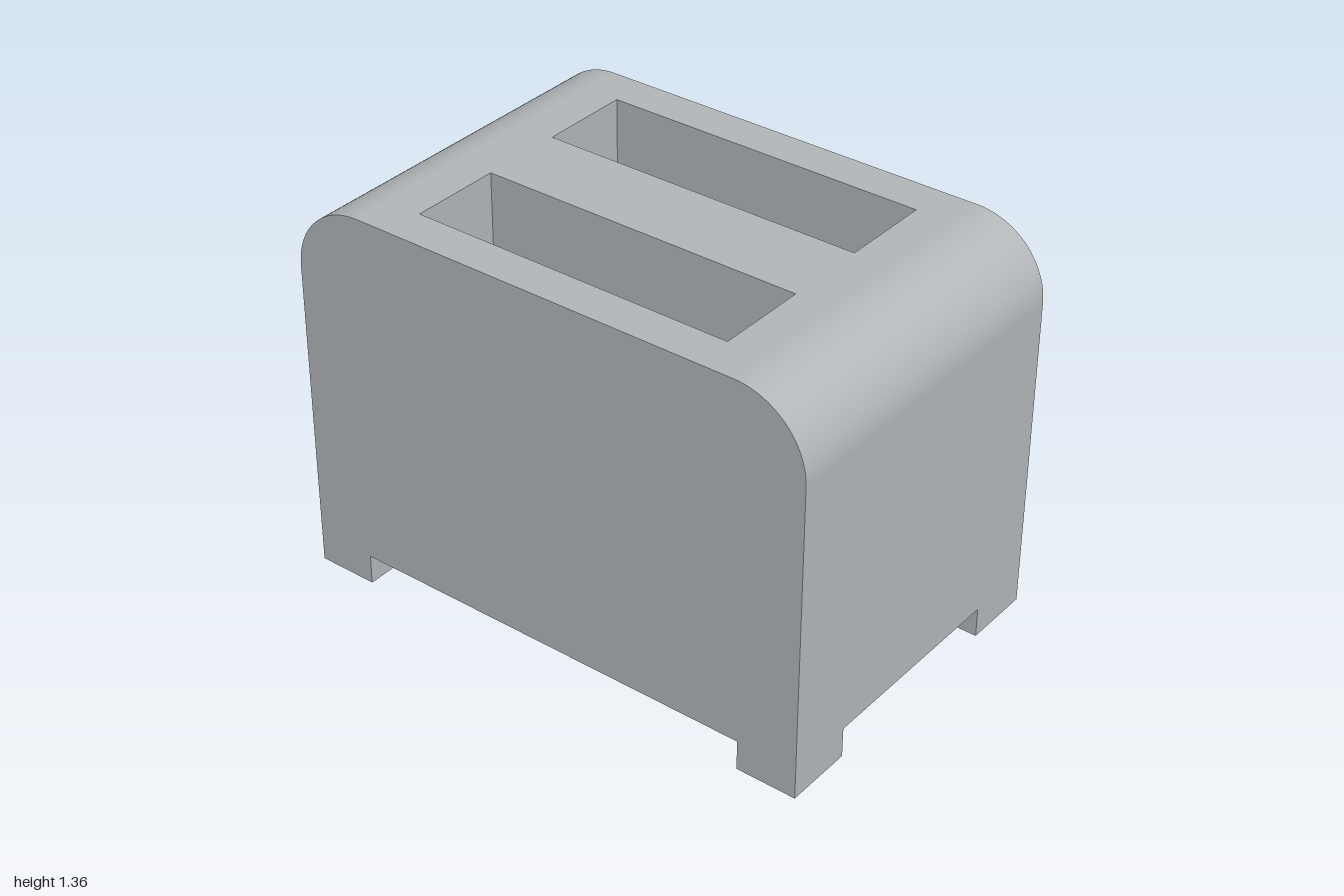
import * as THREE from 'three';

export function createModel() {
  const metal = new THREE.MeshStandardMaterial({ color: 0xb2b6b8 });
  metal.name = 'brushed grey';

  const model = new THREE.Group();
  model.name = 'toaster';
  model.position.x = 0.055; // the lever sticks out on one side, so the body sits off centre

  const W = 0.945, D = 0.605;        // half width and half depth of the body
  const base = 0.105, top = 1.36, R = 0.25;
  const slotX = 0.57, slotZ = 0.16, slotCentre = 0.305, slotFloor = 0.4;

  function add(name, geometry, x = 0, y = 0, z = 0, parent = model) {
    const mesh = new THREE.Mesh(geometry, metal);
    mesh.name = name;
    mesh.position.set(x, y, z);
    parent.add(mesh);
    return mesh;
  }
  const plane = (w, h, rx = 0, ry = 0) => new THREE.PlaneGeometry(w, h).rotateX(rx).rotateY(ry);

  // Front and back panels with rounded upper corners
  const face = new THREE.Shape();
  face.moveTo(-W, base);
  face.lineTo(W, base);
  face.lineTo(W, top - R);
  face.absarc(W - R, top - R, R, 0, Math.PI / 2);
  face.lineTo(-W + R, top);
  face.absarc(-W + R, top - R, R, Math.PI / 2, Math.PI);
  face.closePath();
  add('frontPanel', new THREE.ShapeGeometry(face, 24), 0, 0, D);
  add('backPanel', new THREE.ShapeGeometry(face, 24).rotateY(Math.PI), 0, 0, -D);

  // Side walls and rounded shoulders
  for (const s of [-1, 1]) {
    const name = s > 0 ? 'left' : 'right';
    const h = top - R - base;
    add(name + 'Wall', plane(2 * D, h, 0, s * Math.PI / 2), s * W, base + h / 2, 0);
    const start = s > 0 ? Math.PI / 2 : Math.PI;
    const shoulder = new THREE.CylinderGeometry(R, R, 2 * D, 24, 1, true, start, Math.PI / 2);
    add(name + 'Shoulder', shoulder.rotateX(Math.PI / 2), s * (W - R), top - R, 0);
  }

  // Underside
  add('underside', plane(2 * W, 2 * D, Math.PI / 2), 0, base, 0);

  // Top panel with two slot openings
  const lid = new THREE.Shape();
  lid.moveTo(-W + R, -D);
  lid.lineTo(W - R, -D);
  lid.lineTo(W - R, D);
  lid.lineTo(-W + R, D);
  lid.closePath();
  for (const s of [-1, 1]) {
    const c = s * slotCentre;
    const hole = new THREE.Path();
    hole.moveTo(-slotX, c - slotZ);
    hole.lineTo(-slotX, c + slotZ);
    hole.lineTo(slotX, c + slotZ);
    hole.lineTo(slotX, c - slotZ);
    hole.closePath();
    lid.holes.push(hole);
  }
  add('topPanel', new THREE.ShapeGeometry(lid).rotateX(-Math.PI / 2), 0, top, 0);

  // Slot wells, with faces turned inward
  for (const s of [-1, 1]) {
    const well = new THREE.Group();
    well.name = s > 0 ? 'frontSlot' : 'backSlot';
    well.position.z = s * slotCentre;
    model.add(well);
    const h = top - slotFloor, y = slotFloor + h / 2;
    add('slotFloor', plane(2 * slotX, 2 * slotZ, -Math.PI / 2), 0, slotFloor, 0, well);
    add('slotBackWall', plane(2 * slotX, h), 0, y, -slotZ, well);
    add('slotFrontWall', plane(2 * slotX, h, 0, Math.PI), 0, y, slotZ, well);
    add('slotRightEnd', plane(2 * slotZ, h, 0, Math.PI / 2), -slotX, y, 0, well);
    add('slotLeftEnd', plane(2 * slotZ, h, 0, -Math.PI / 2), slotX, y, 0, well);
  }

  // Four corner feet, flush with the body
  const footW = 0.212, footD = 0.24;
  for (const sx of [-1, 1]) {
    for (const sz of [-1, 1]) {
      add('foot', new THREE.BoxGeometry(footW, base, footD),
        sx * (W - footW / 2), base / 2, sz * (D - footD / 2));
    }
  }

  // Push-down lever on the right side
  add('lever', new THREE.BoxGeometry(0.11, 0.21, 0.36), -W - 0.055, 0.415, 0);

  return model;
}
